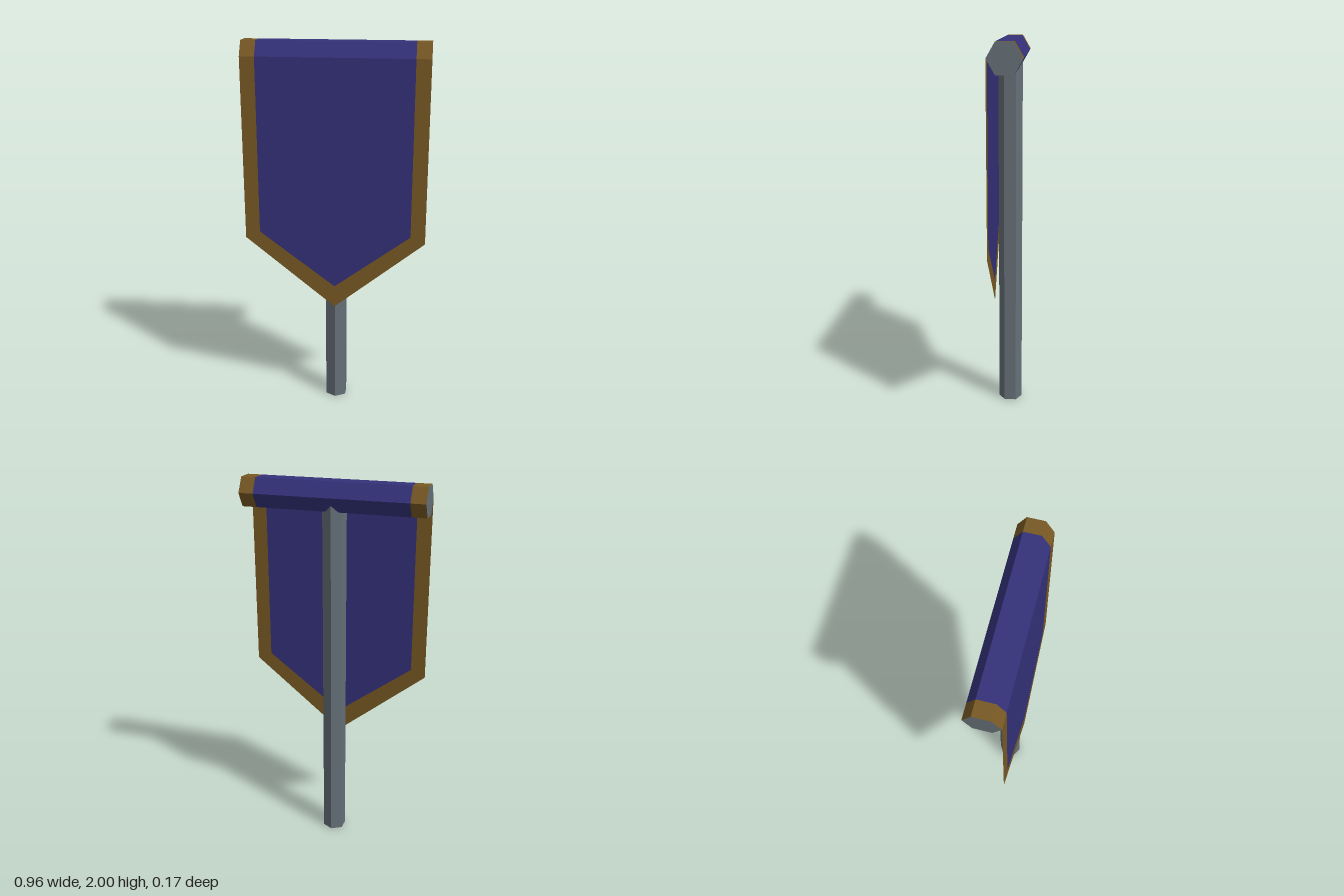
import * as THREE from 'three';

const HALF = 0.48;      // half width of the banner
const INNER = 0.403;    // half width of the blue field
const BAR_R = 0.0866;   // hexagonal crossbar radius
const BAR_Y = 1.925;    // crossbar centre height

function material(name, color, side = THREE.FrontSide) {
  return new THREE.MeshStandardMaterial({ name, color, side, flatShading: true });
}

function polygon(points) {
  return new THREE.Shape(points.map(([x, y]) => new THREE.Vector2(x, y)));
}

// Pennant outline: straight sides ending in a central point
function pennant(half, shoulder, tip) {
  return [[-half, BAR_Y], [-half, shoulder], [0, tip], [half, shoulder], [half, BAR_Y]];
}

export function createModel() {
  const group = new THREE.Group();
  const blue = material('blue cloth', 0x343179, THREE.DoubleSide);
  const gold = material('gold trim', 0x785924, THREE.DoubleSide);
  const grey = material('grey metal', 0x667078);

  function add(name, geometry, mat) {
    const mesh = new THREE.Mesh(geometry, mat);
    mesh.name = name;
    group.add(mesh);
    return mesh;
  }

  // Upright pole, running up into the crossbar
  add('pole', new THREE.CylinderGeometry(0.063, 0.063, BAR_Y, 6).translate(0, BAR_Y / 2, 0), grey);

  // Crossbar wrapped in cloth, with gold bands and grey ends
  function barPiece(name, x, length, mat, open) {
    const geometry = new THREE.CylinderGeometry(BAR_R, BAR_R, length, 6, 1, open);
    geometry.rotateZ(Math.PI / 2).translate(x, BAR_Y, 0);
    add(name, geometry, mat);
  }
  barPiece('crossbarCloth', 0, INNER * 2, blue, true);
  for (const [name, side] of [['leftCrossbarBand', 1], ['rightCrossbarBand', -1]]) {
    barPiece(name, side * (HALF + INNER) / 2, HALF - INNER, [gold, grey, grey], false);
  }

  // Hanging cloth: blue field and the surrounding trim, open at the top
  const outer = pennant(HALF, 0.965, 0.58);
  const inner = pennant(INNER, 1.0, 0.70);
  const field = new THREE.ShapeGeometry(polygon(inner));
  const trim = new THREE.ShapeGeometry(polygon([...outer, ...inner.slice().reverse()]));
  add('bannerField', field.translate(0, 0, BAR_R), blue);
  add('bannerTrim', trim.translate(0, 0, BAR_R), gold);

  return group;
}
